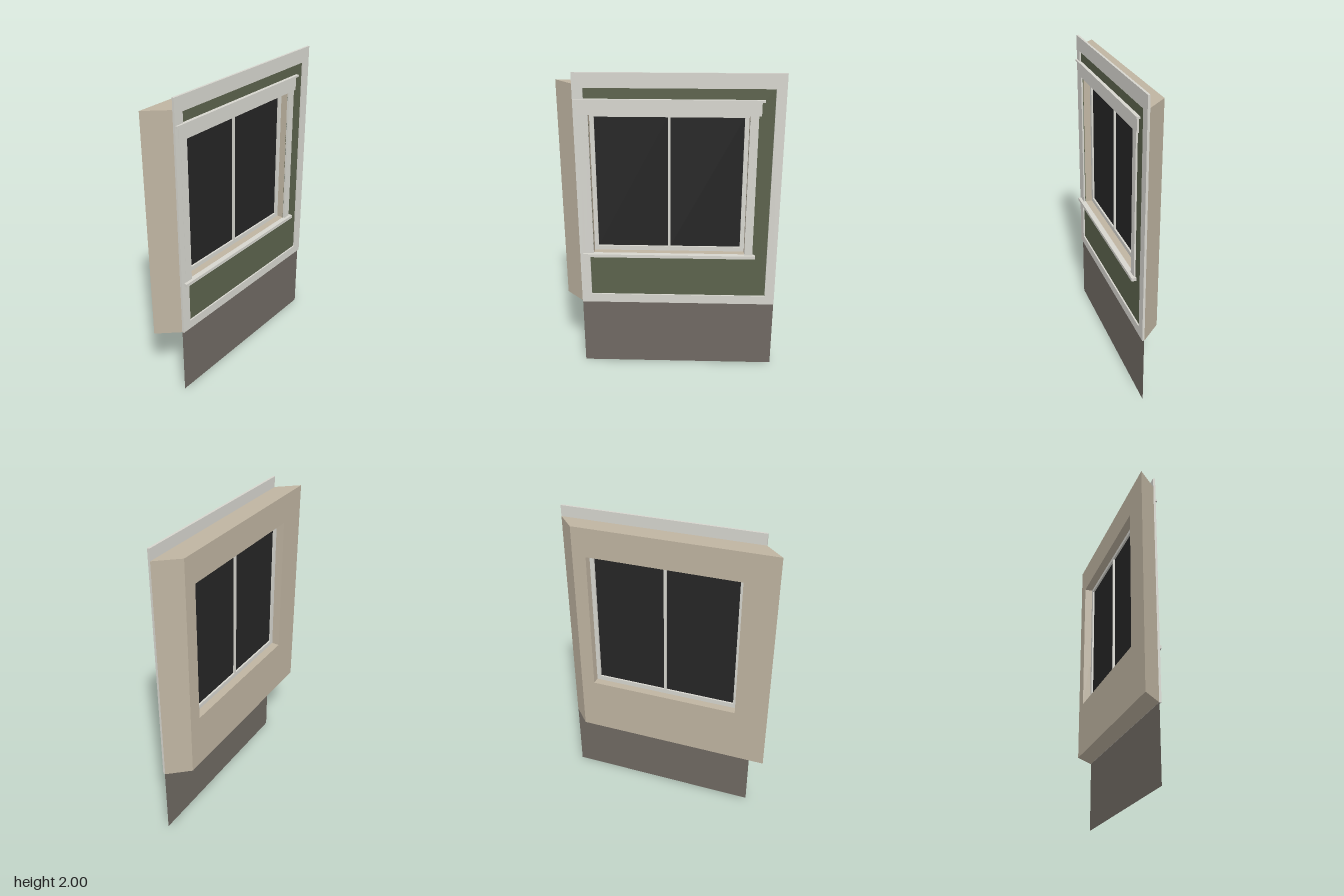
import * as THREE from 'three';

const paint = (name, color) => new THREE.MeshStandardMaterial({ name, color });

export function createModel() {
  const group = new THREE.Group();
  const plaster = paint('beige plaster', 0xbfb4a1);
  const trim = paint('pale trim', 0xd6d5ce);
  const siding = paint('green siding', 0x5b624c);
  const stone = paint('dark foundation', 0x6f6962);
  const glass = paint('dark glass', 0x252525);
  stone.side = THREE.DoubleSide;

  function add(name, geometry, material) {
    const mesh = new THREE.Mesh(geometry, material);
    mesh.name = name;
    group.add(mesh);
    return mesh;
  }

  // Box given by its limits on each axis
  function block(name, material, [x0, x1], [y0, y1], [z0, z1]) {
    add(name, new THREE.BoxGeometry(x1 - x0, y1 - y0, z1 - z0), material)
      .position.set((x0 + x1) / 2, (y0 + y1) / 2, (z0 + z1) / 2);
  }

  // Rectangular slab across x with one rectangular hole; rectangles are [z0, z1, y0, y1]
  function ring(outer, hole, x0, x1) {
    const trace = (path, [z0, z1, y0, y1]) => {
      path.moveTo(-z1, y0);
      path.lineTo(-z0, y0);
      path.lineTo(-z0, y1);
      path.lineTo(-z1, y1);
      path.closePath();
      return path;
    };
    const shape = trace(new THREE.Shape(), outer);
    shape.holes.push(trace(new THREE.Path(), hole));
    const geometry = new THREE.ExtrudeGeometry(shape, { depth: x1 - x0, bevelEnabled: false });
    return geometry.rotateY(Math.PI / 2).translate(x0, 0, 0);
  }

  const face = 0.045;
  const opening = [-0.49, 0.49, 0.825, 1.745];

  // Wall body: the two ends are mitred, the window opening stays square
  const wall = ring([-0.7, 0.58, 0.465, 1.93], opening, -0.082, face);
  const p = wall.attributes.position;
  for (let i = 0; i < p.count; i++) {
    if (p.getX(i) < 0 && Math.abs(p.getZ(i)) > 0.55) p.setZ(i, p.getZ(i) + 0.12);
  }
  wall.computeVertexNormals();
  add('wall', wall, plaster);

  // Siding and its border
  add('siding', ring([-0.64, 0.52, 0.52, 1.915], opening, face, 0.049), siding);
  add('wallBorder', ring([-0.7, 0.58, 0.465, 2], [-0.637, 0.515, 0.525, 1.908], face, 0.059), trim);

  // Foundation is a single flat sheet
  const base = add('foundation', new THREE.PlaneGeometry(1.28, 0.465), stone);
  base.rotation.y = Math.PI / 2;
  base.position.set(0.047, 0.2325, -0.06);

  // Window casing, head, cap and sill
  for (const s of [-1, 1]) {
    const z = [0.49 * s, 0.542 * s].sort((a, b) => a - b);
    block('sideCasing', trim, [face, 0.06], [0.825, 1.745], z);
  }
  block('headCasing', trim, [face, 0.062], [1.745, 1.83], [-0.558, 0.558]);
  block('headCap', trim, [face, 0.071], [1.83, 1.842], [-0.576, 0.576]);
  block('sill', trim, [face, 0.079], [0.805, 0.826], [-0.558, 0.558]);

  // Sash set back in the opening, with centre mullion and two panes
  add('sash', ring(opening, [-0.463, 0.463, 0.855, 1.72], -0.03, 0), trim);
  block('mullion', trim, [-0.03, 0], [0.855, 1.72], [-0.008, 0.008]);
  block('leftPane', glass, [-0.018, -0.012], [0.855, 1.72], [0.008, 0.463]);
  block('rightPane', glass, [-0.018, -0.012], [0.855, 1.72], [-0.463, -0.008]);

  return group;
}
